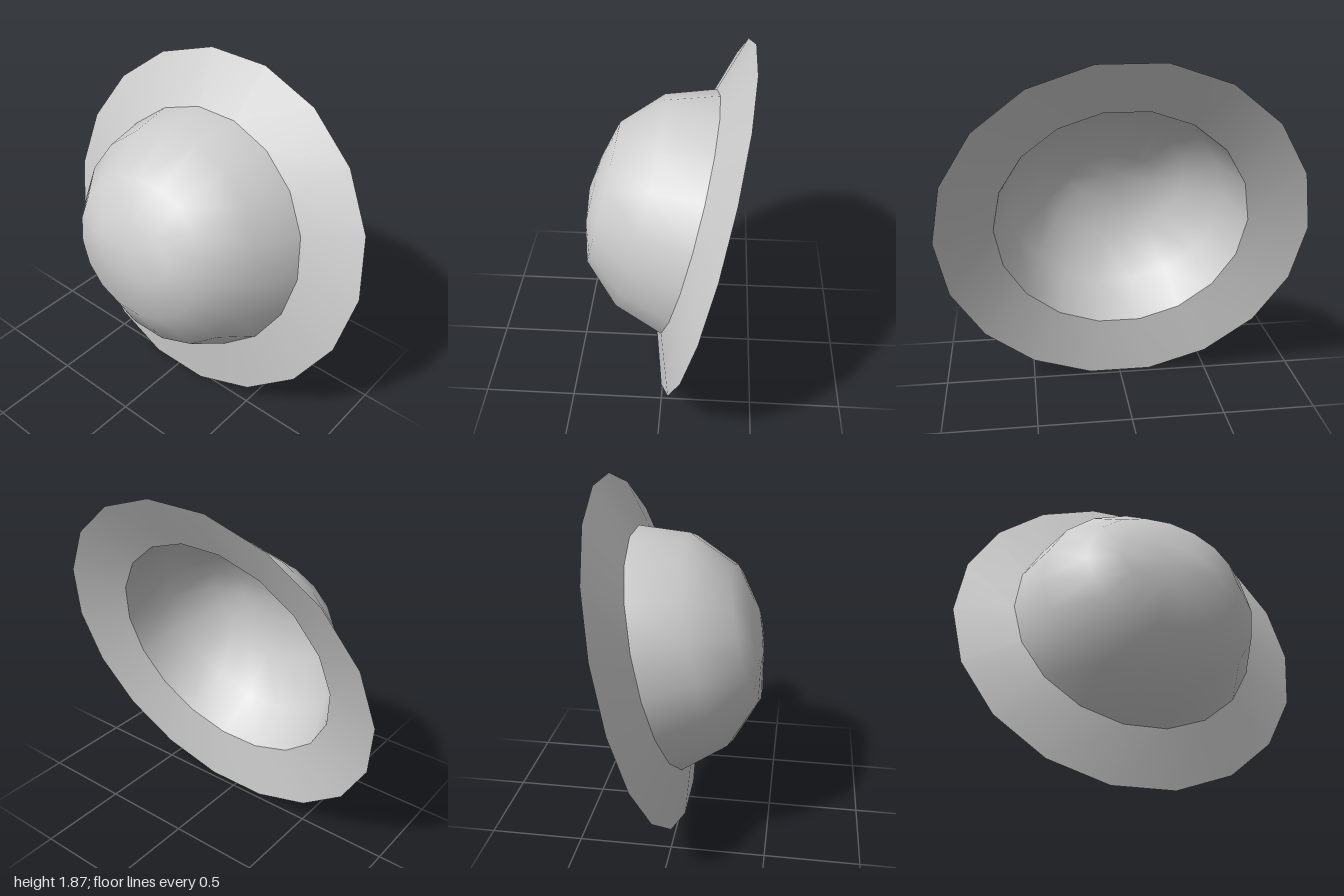
import * as THREE from 'three';

const SIDES = 18;

// Lofts 18-sided rings [z, x radius, y radius]; a zero radius closes to a point.
function loft(rings, material, name) {
  const positions = [], index = [], starts = [];
  for (const [z, rx, ry] of rings) {
    starts.push(positions.length / 3);
    const count = rx === 0 ? 1 : SIDES;
    for (let j = 0; j < count; j++) {
      const a = ((j + 0.5) / SIDES) * Math.PI * 2;
      positions.push(rx * Math.sin(a), ry * Math.cos(a), z);
    }
  }
  for (let i = 0; i < rings.length - 1; i++) {
    const closes = rings[i + 1][1] === 0;
    for (let j = 0; j < SIDES; j++) {
      const k = (j + 1) % SIDES;
      const a = starts[i] + j, b = starts[i] + k;
      const d = starts[i + 1] + (closes ? 0 : j);
      index.push(a, d, b);
      if (!closes) index.push(b, d, starts[i + 1] + k);
    }
  }
  const geometry = new THREE.BufferGeometry();
  geometry.setAttribute('position', new THREE.Float32BufferAttribute(positions, 3));
  geometry.setIndex(index);
  geometry.computeVertexNormals();
  const mesh = new THREE.Mesh(geometry, material);
  mesh.name = name;
  return mesh;
}

export function createModel() {
  const felt = new THREE.MeshStandardMaterial({ color: 0xcccccc, side: THREE.DoubleSide });
  felt.name = 'light grey felt';

  const hat = new THREE.Group();
  hat.name = 'hat';

  // Flared brim, from outer edge to the foot of the crown
  hat.add(loft([[-0.1, 1, 0.978], [0, 0.69, 0.676]], felt, 'brim'));

  // Hollow domed crown, a little fuller across than up and down
  hat.add(loft([
    [0, 0.69, 0.676],
    [0.265, 0.598, 0.584],
    [0.465, 0.42, 0.371],
    [0.52, 0.25, 0.14],
    [0.543, 0, 0],
  ], felt, 'crown'));

  // The hat leans back
  hat.rotation.x = -0.243;
  hat.position.set(0, 0.967, -0.107);

  const model = new THREE.Group();
  model.name = 'brimmedHat';
  model.add(hat);
  return model;
}
